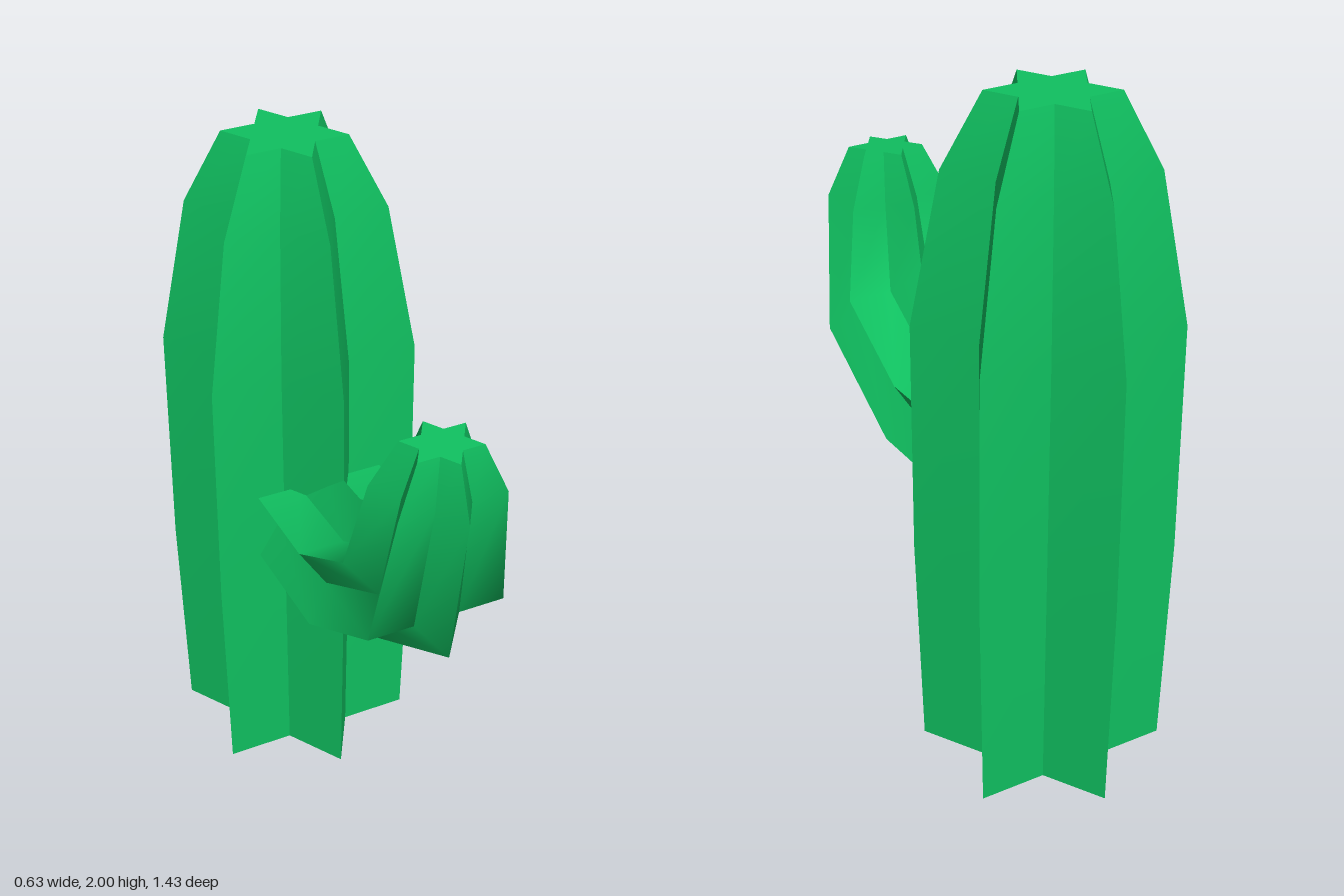
import * as THREE from 'three';

const POINTS = 6;     // ribs of the star section
const INNER = 0.577;  // valley radius relative to the rib radius

// Lofts star sections. Each ring is [y, z, uy, uz]: its centre in the x = 0 plane
// and the vector from there to its first rib tip.
// Every flank has its own vertices, so ribs stay sharp while bends along the length are smooth.
function ribbedStem(name, rings, widen, material) {
  const sides = POINTS * 2;
  const pos = [], index = [];
  const push = (v) => pos.push(v[0], v[1], v[2]) / 3 - 1;
  const point = ([y, z, uy, uz], k) => {
    const a = (k * Math.PI) / POINTS;
    const r = k % 2 ? INNER : 1;
    const c = Math.cos(a) * r;
    return [Math.sin(a) * r * Math.hypot(uy, uz) * widen, y + uy * c, z + uz * c];
  };

  // flanks
  for (let k = 0; k < sides; k++) {
    rings.forEach((ring, i) => {
      const a = push(point(ring, k));
      const b = push(point(ring, k + 1));
      if (i > 0) index.push(a - 2, b - 2, b, a - 2, b, a);
    });
  }

  // flat star caps
  [rings[0], rings[rings.length - 1]].forEach((ring, end) => {
    const centre = push([0, ring[0], ring[1]]);
    for (let k = 0; k < sides; k++) push(point(ring, k));
    for (let k = 0; k < sides; k++) {
      const a = centre + 1 + k, b = centre + 1 + ((k + 1) % sides);
      index.push(centre, ...(end ? [a, b] : [b, a]));
    }
  });

  const geometry = new THREE.BufferGeometry();
  geometry.setAttribute('position', new THREE.Float32BufferAttribute(pos, 3));
  geometry.setIndex(index);
  geometry.computeVertexNormals();
  const mesh = new THREE.Mesh(geometry, material);
  mesh.name = name;
  return mesh;
}

export function createModel() {
  const group = new THREE.Group();
  group.name = 'cactus';
  const green = new THREE.MeshStandardMaterial({ color: 0x10c060 });

  // upright trunk, tapering to a flat star at the top
  const trunkRings = [
    [0, 0.345], [0.66, 0.365], [1.35, 0.365], [1.79, 0.283], [2, 0.174],
  ].map(([y, r]) => [y, -0.35, 0, r]);
  group.add(ribbedStem('trunk', trunkRings, 1, green));

  // arm that leaves the front of the trunk and bends upward
  const armRings = [
    [0.883, -0.147, -0.205, 0],
    [0.885, 0.18, -0.205, 0.06],
    [1.067, 0.498, -0.153, 0.148],
    [1.4, 0.555, -0.01, 0.165],
    [1.545, 0.565, -0.005, 0.1],
  ];
  group.add(ribbedStem('arm', armRings, 1.1, green));

  return group;
}
